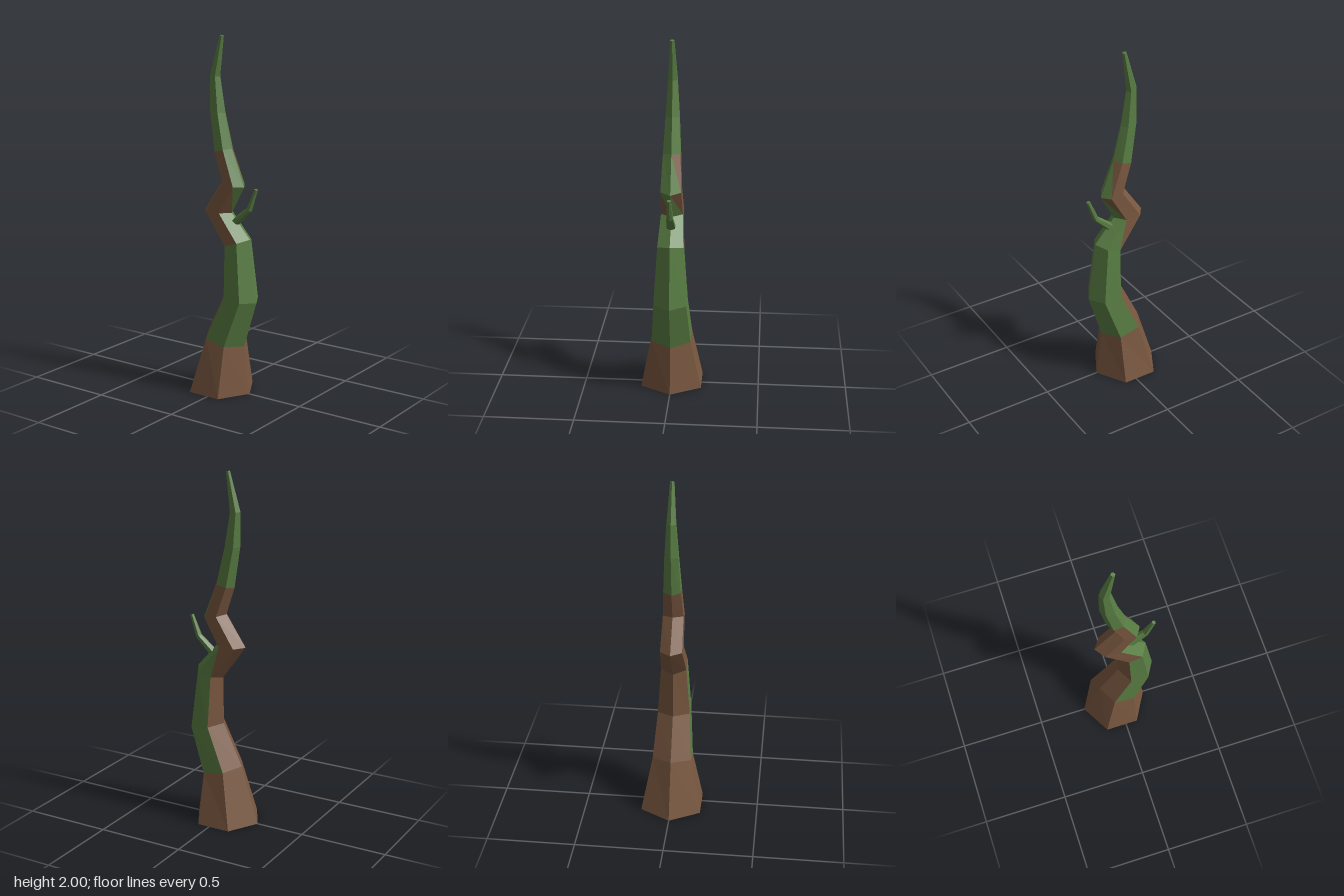
import * as THREE from 'three';

const bark = new THREE.MeshStandardMaterial({ color: 0x7a5840 });
bark.name = 'barkBrown';
const moss = new THREE.MeshStandardMaterial({ color: 0x5a7f44 });
moss.name = 'mossGreen';

// Each ring is a tilted hexagon: [leftX, leftY, rightX, rightY, half depth]
const trunkRings = [
  [-0.22, 0, 0.168, 0, 0.172],
  [-0.115, 0.33, 0.13, 0.273, 0.111],
  [0.002, 0.57, 0.212, 0.54, 0.092],
  [0.007, 0.84, 0.165, 0.893, 0.072],
  [-0.135, 1.035, 0.045, 1.03, 0.061],
  [-0.015, 1.21, 0.126, 1.18, 0.057],
  [-0.065, 1.365, 0.045, 1.388, 0.048],
  [-0.1, 1.595, -0.002, 1.58, 0.037],
  [-0.1, 1.785, -0.035, 1.775, 0.025],
  [-0.036, 2.0, -0.011, 1.995, 0.011],
];
const branchRings = [
  [0.055, 1.0, 0.092, 0.968, 0.024],
  [0.147, 1.07, 0.175, 1.052, 0.018],
  [0.195, 1.182, 0.217, 1.175, 0.01],
];

// Trunk colours per segment; sides run right-front, front, left-front, left-back, back, right-back.
// b = bark, m = moss, l = bark on the lower triangle only, u = bark on the upper triangle only
const trunkColours = ['bbbbbb', 'mmbbmm', 'mmbbmm', 'mbbbum', 'lbbbbu', 'mbbbbu', 'mmmmmm', 'mmmmmm', 'mmmmmm'];

function ringPoints([lx, ly, rx, ry, depth]) {
  return Array.from({ length: 6 }, (_, k) => {
    const a = (k * Math.PI) / 3;
    const t = (1 + Math.cos(a)) / 2;
    return [lx + (rx - lx) * t, ly + (ry - ly) * t, (depth * Math.sin(a)) / Math.sin(Math.PI / 3)];
  });
}

// Skins the rings with flat triangles sorted into a bark and a moss mesh
function buildLimb(name, rings, colours, bottomIsBark) {
  const triangles = { bark: [], moss: [] };
  const add = (isBark, ...points) => triangles[isBark ? 'bark' : 'moss'].push(...points.flat());
  const pts = rings.map(ringPoints);
  for (let s = 0; s < pts.length - 1; s++) {
    for (let k = 0; k < 6; k++) {
      const n = (k + 1) % 6;
      const c = colours[s][k];
      add(c === 'b' || c === 'u', pts[s][k], pts[s + 1][k], pts[s + 1][n]);
      add(c === 'b' || c === 'l', pts[s][k], pts[s + 1][n], pts[s][n]);
    }
  }
  // End caps
  const top = pts[pts.length - 1];
  for (let k = 1; k < 5; k++) {
    add(bottomIsBark, pts[0][0], pts[0][k], pts[0][k + 1]);
    add(false, top[0], top[k + 1], top[k]);
  }
  const limb = new THREE.Group();
  limb.name = name;
  for (const [key, material] of [['bark', bark], ['moss', moss]]) {
    if (!triangles[key].length) continue;
    const geometry = new THREE.BufferGeometry();
    geometry.setAttribute('position', new THREE.Float32BufferAttribute(triangles[key], 3));
    geometry.computeVertexNormals();
    const mesh = new THREE.Mesh(geometry, material);
    mesh.name = name + (key === 'bark' ? 'Bark' : 'Moss');
    limb.add(mesh);
  }
  return limb;
}

export function createModel() {
  const group = new THREE.Group();
  group.name = 'twistedTree';
  group.add(buildLimb('trunk', trunkRings, trunkColours, true));
  group.add(buildLimb('sideBranch', branchRings, ['mmmmmm', 'mmmmmm'], false));
  return group;
}
